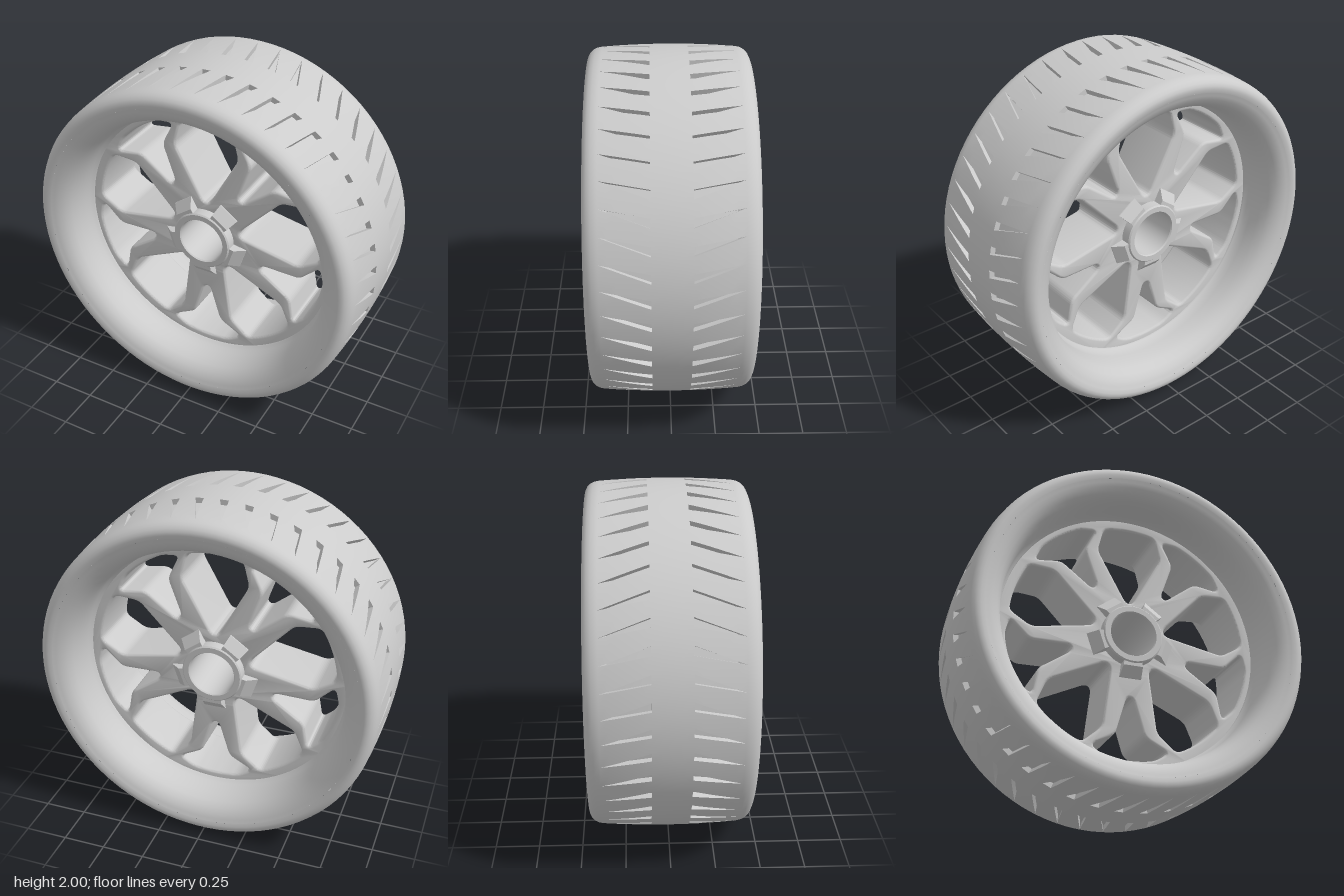
import * as THREE from 'three';
import { toCreasedNormals } from 'three/addons/utils/BufferGeometryUtils.js';

const GROOVES = 45;
const DEG = Math.PI / 180;

function material() {
  return new THREE.MeshStandardMaterial({ color: 0xcccccc });
}

function addMesh(parent, name, geometry) {
  const mesh = new THREE.Mesh(geometry, material());
  mesh.name = name;
  parent.add(mesh);
  return mesh;
}

// Closed path through the points with every corner rounded
function roundedPath(points, radius) {
  const path = new THREE.Path();
  const v = points.map(([x, y]) => new THREE.Vector2(x, y));
  v.forEach((p, i) => {
    const prev = v[(i + v.length - 1) % v.length];
    const next = v[(i + 1) % v.length];
    const near = (q) => {
      const length = p.distanceTo(q);
      return p.clone().lerp(q, Math.min(radius, length * 0.45) / length);
    };
    const start = near(prev), end = near(next);
    if (i === 0) path.moveTo(start.x, start.y);
    else path.lineTo(start.x, start.y);
    path.quadraticCurveTo(p.x, p.y, end.x, end.y);
  });
  path.closePath();
  return path;
}

// Spoke opening, symmetric about a radius: half outline plus an outer arc
function opening(half, arcRadius, angle) {
  const last = half[half.length - 1];
  const limit = Math.atan2(last[1], last[0]);
  const arc = [-0.6, -0.2, 0.2, 0.6].map((t) => [
    arcRadius * Math.sin(t * limit), arcRadius * Math.cos(t * limit)]).reverse();
  const outline = [
    ...half.map(([r, w]) => [w, r]), ...arc,
    ...half.slice().reverse().map(([r, w]) => [-w, r])];
  const c = Math.cos(angle), s = Math.sin(angle);
  return roundedPath(outline.map(([x, y]) => [x * c - y * s, x * s + y * c]), 0.035);
}

// Tyre skin: rows across the width, columns around, with wedge grooves sunk in
function tyreGeometry() {
  const crown = (z) => 1 - 0.015 * (z / 0.375) ** 2;
  // Each row: z, radius, groove position (0 wide end, 1 tip), groove depth
  const half = [[0.438, 0.9], [0.445, 0.92], [0.444, 0.938], [0.436, 0.955],
    [0.42, 0.97], [0.4, 0.98], [0.375, 0.985]].map(([z, r]) => [z, r, 1, 0]);
  for (let i = 0; i <= 6; i++) {
    const z = 0.365 - (0.26 * i) / 6;
    half.push([z, crown(z), 1 - i / 6, i === 0 ? 0 : 0.03]);
  }
  half.push([0.105, crown(0.105), 0, 0], [0.05, crown(0.05), 0, 0]);
  const rows = [...half, [0, 1, 0, 0],
    ...half.slice().reverse().map(([z, r, v, d]) => [-z, r, v, d])];

  const position = [], index = [];
  const columns = GROOVES * 5;
  for (const [z, r, v, depth] of rows) {
    for (let g = 0; g < GROOVES; g++) {
      const tip = (360 / GROOVES) * g;
      const low = tip - 5.6 * (1 - v), high = tip - 2.8 * (1 - v);
      const middle = (high + low + 360 / GROOVES) / 2;
      for (const [angle, sink] of [[low, 0], [low, depth], [high, depth], [high, 0], [middle, 0]]) {
        position.push((r - sink) * Math.cos(angle * DEG), (r - sink) * Math.sin(angle * DEG), z);
      }
    }
  }
  for (let i = 0; i < rows.length - 1; i++) {
    for (let j = 0; j < columns; j++) {
      const k = (j + 1) % columns;
      const a = i * columns + j, b = i * columns + k;
      index.push(a, a + columns, b + columns, a, b + columns, b);
    }
  }
  const geometry = new THREE.BufferGeometry();
  geometry.setAttribute('position', new THREE.Float32BufferAttribute(position, 3));
  geometry.setIndex(index);
  return toCreasedNormals(geometry, 0.6);
}

// Revolved part with its axis along z
function turned(points, segments) {
  const profile = points.map(([r, z]) => new THREE.Vector2(r, z));
  return new THREE.LatheGeometry(profile, segments).rotateX(Math.PI / 2);
}

// Thick spoke disc with five wide openings and five small ones
function spokeGeometry() {
  const disc = new THREE.Shape().absarc(0, 0, 0.81, 0, Math.PI * 2, false);
  disc.holes.push(new THREE.Path().absarc(0, 0, 0.15, 0, Math.PI * 2, true));
  const wide = [[0.225, 0.02], [0.545, 0.195], [0.69, 0.16]];
  const small = [[0.365, 0.018], [0.59, 0.085], [0.665, 0.225]];
  for (let i = 0; i < 5; i++) {
    disc.holes.push(opening(wide, 0.71, i * 72 * DEG));
    disc.holes.push(opening(small, 0.73, (36 + i * 72) * DEG));
  }
  const bevel = 0.016;
  const geometry = new THREE.ExtrudeGeometry(disc, {
    depth: 0.36 - 2 * bevel, curveSegments: 48, bevelEnabled: true,
    bevelSize: bevel, bevelThickness: bevel, bevelOffset: -bevel, bevelSegments: 3,
  });
  geometry.translate(0, 0, -0.18 + bevel);
  return toCreasedNormals(geometry, 0.6);
}

// Sloping wedge beside the hub that widens outwards, lying along +x
function lugGeometry() {
  const side = new THREE.Shape();
  side.moveTo(0.155, 0.15);
  side.lineTo(0.255, 0.15);
  side.lineTo(0.25, 0.185);
  side.lineTo(0.195, 0.235);
  side.lineTo(0.155, 0.235);
  side.closePath();
  const geometry = new THREE.ExtrudeGeometry(side, { depth: 1, bevelEnabled: false });
  geometry.translate(0, 0, -0.5).rotateX(Math.PI / 2);
  // The shape's height is now z and its depth runs along -y
  const p = geometry.attributes.position;
  for (let i = 0; i < p.count; i++) p.setY(i, p.getY(i) * (0.06 + 0.28 * p.getX(i)));
  geometry.computeVertexNormals();
  return geometry;
}

export function createModel() {
  const wheel = new THREE.Group();
  wheel.name = 'wheel';
  wheel.position.y = 1;

  addMesh(wheel, 'tyre', tyreGeometry());

  // Rim barrel, facing the axle
  const lip = [[0.9, 0.438], [0.88, 0.43], [0.855, 0.42], [0.825, 0.395], [0.803, 0.36],
    [0.79, 0.31], [0.785, 0.25], [0.783, 0.21], [0.77, 0.19], [0.765, 0.175]];
  addMesh(wheel, 'rimBarrel',
    turned([...lip, ...lip.slice().reverse().map(([r, z]) => [r, -z])], 96));

  addMesh(wheel, 'spokes', spokeGeometry());

  // Hollow hub sleeve with softened rims
  const sleeve = [[0.134, 0.235], [0.134, -0.235], [0.139, -0.243], [0.17, -0.243],
    [0.177, -0.235], [0.177, 0.235], [0.17, 0.243], [0.139, 0.243], [0.134, 0.235]];
  addMesh(wheel, 'hub', toCreasedNormals(turned(sleeve, 48), 0.5));

  // Five lugs on each face
  const lug = lugGeometry();
  for (const face of [0, 1]) {
    const set = new THREE.Group();
    set.name = face ? 'backLugs' : 'frontLugs';
    set.rotation.y = face * Math.PI;
    for (let i = 0; i < 5; i++) {
      addMesh(set, 'lug', lug).rotation.z = (-90 + 72 * i) * DEG;
    }
    wheel.add(set);
  }

  const model = new THREE.Group();
  model.name = 'wheelModel';
  model.add(wheel);
  return model;
}
